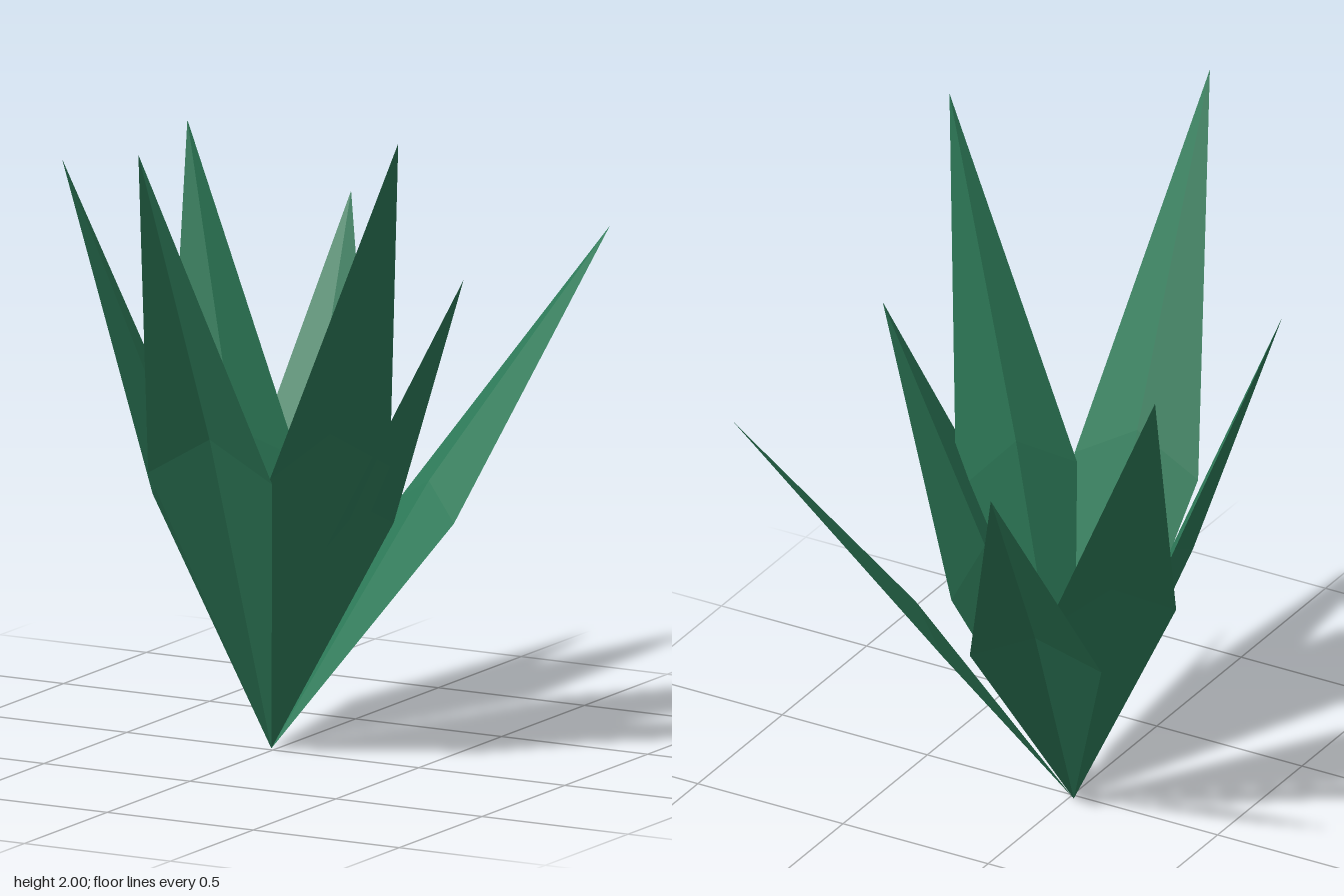
import * as THREE from 'three';

const HALF_WIDTH = 0.203;

// One folded blade: base, two side corners, raised centre and tip, leaning along +z.
function bladeGeometry(reach, height) {
  const base = [0, 0, 0];
  const left = [HALF_WIDTH, height * 0.455, reach * 0.46];
  const right = [-HALF_WIDTH, height * 0.455, reach * 0.46];
  const centre = [0, height * 0.515, reach * 0.465];
  const tip = [0, height, reach];
  const faces = [
    base, centre, left,
    base, right, centre,
    left, centre, tip,
    centre, right, tip,
  ];
  const geometry = new THREE.BufferGeometry();
  geometry.setAttribute('position', new THREE.Float32BufferAttribute(faces.flat(), 3));
  geometry.computeVertexNormals();
  return geometry;
}

export function createModel() {
  const plant = new THREE.Group();
  plant.name = 'leafyPlant';
  const material = new THREE.MeshStandardMaterial({
    color: 0x2d7a58, flatShading: true, side: THREE.DoubleSide,
  });

  // Shared root of all blades, and the tip of each blade
  const root = new THREE.Vector3(-0.015, 0, -0.018);
  const tips = [
    [0.07, 2.0, 0.935],
    [0.665, 2.0, 0.415],
    [0.645, 1.5, -0.015],
    [0.65, 1.5, -0.89],
    [-0.262, 1.5, -0.935],
    [-0.61, 1.75, -0.56],
    [-0.665, 1.75, 0.1],
  ];

  tips.forEach(([x, y, z], i) => {
    const dx = x - root.x;
    const dz = z - root.z;
    const leaf = new THREE.Mesh(bladeGeometry(Math.hypot(dx, dz), y), material);
    leaf.name = `leaf${i + 1}`;
    leaf.position.copy(root);
    leaf.rotation.y = Math.atan2(dx, dz);
    plant.add(leaf);
  });
  return plant;
}
